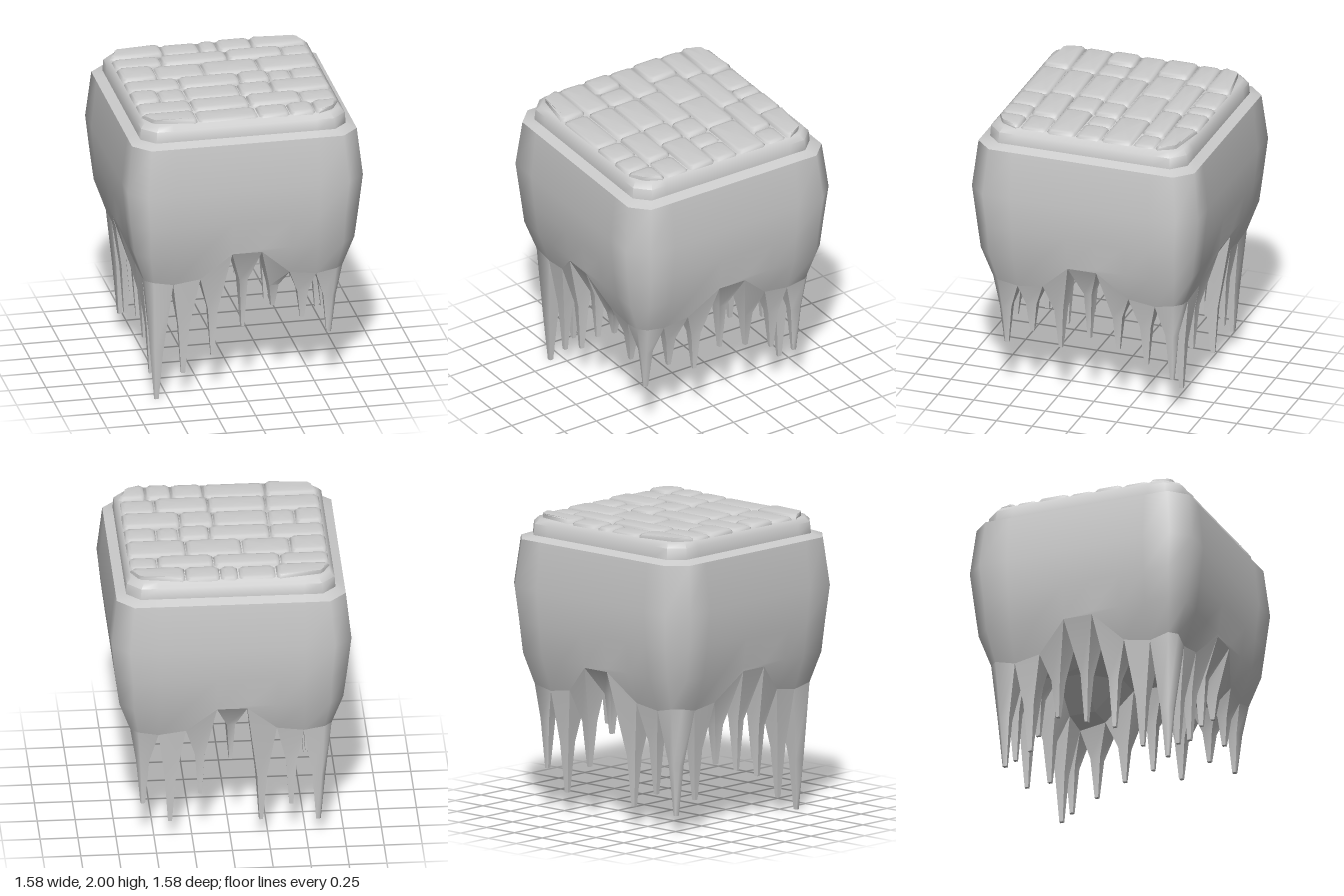
import * as THREE from 'three';
import { mergeVertices, toCreasedNormals } from 'three/addons/utils/BufferGeometryUtils.js';

const GAPS = [-0.48, -0.3, -0.1, 0.1, 0.3, 0.48]; // notches between the spikes on each side
const INNER = 0.48;
const V = (x, y, z) => new THREE.Vector3(x, y, z);
const material = new THREE.MeshStandardMaterial({ color: 0xcccccc });

// Height of the lower edge: an arch that is highest mid-side
const archY = t => [1.05, 0.86, 0.83][Math.abs(t) < 0.2 ? 0 : Math.abs(t) < 0.4 ? 1 : 2];
// Half-width of the wall near its lower edge
const wallW = y => THREE.MathUtils.mapLinear(y, 0.85, 1.05, 0.66, 0.735);
// Quarter turns about y, front -> +x side -> back -> -x side
const turn = (p, k) => {
  for (let i = 0; i < k; i++) p = V(p.z, p.y, -p.x);
  return p;
};

function build(triangles, crease) {
  const g = new THREE.BufferGeometry().setFromPoints(triangles);
  const welded = mergeVertices(g, 1e-4);
  return toCreasedNormals(welded, crease);
}

// Skin rings of equal length, listed bottom to top and counterclockwise from above
function loft(rings, { top = false, bottom = false, crease = 0.95 } = {}) {
  const out = [], n = rings[0].length;
  for (let r = 0; r + 1 < rings.length; r++) {
    for (let i = 0; i < n; i++) {
      const j = (i + 1) % n, a = rings[r], b = rings[r + 1];
      out.push(a[i], a[j], b[j], a[i], b[j], b[i]);
    }
  }
  const cap = (ring, up) => {
    const c = ring.reduce((s, p) => s.add(p), V(0, 0, 0)).divideScalar(n);
    ring.forEach((p, i) => {
      const q = ring[(i + 1) % n];
      out.push(c, ...(up ? [p, q] : [q, p]));
    });
  };
  if (top) cap(rings[rings.length - 1], true);
  if (bottom) cap(rings[0], false);
  return build(out, crease);
}

// Square ring with chamfered corners
function squareRing(w, y, c) {
  const ring = [];
  for (let k = 0; k < 4; k++) {
    for (const t of GAPS) ring.push(turn(V(t, y, w), k));
    ring.push(turn(V(w - c, y, w), k), turn(V(w, y, w - c), k));
  }
  return ring;
}

const edgePoint = t => V(t, archY(t), wallW(archY(t)));
const CORNER = 0.05, LOW = wallW(0.86);
const cornerPoints = [V(LOW - CORNER, 0.86, LOW), V(LOW, 0.86, LOW - CORNER)];

function bodyGeometry() {
  const lowest = [];
  for (let k = 0; k < 4; k++) {
    for (const p of [...GAPS.map(edgePoint), ...cornerPoints]) lowest.push(turn(p, k));
  }
  const rings = [[1.07, 0.738, 0.09], [1.28, 0.765, 0.11], [1.52, 0.79, 0.115], [1.84, 0.755, 0.11],
    [1.865, 0.69, 0.09], [1.94, 0.685, 0.09], [1.972, 0.655, 0.08]];
  return loft([lowest, ...rings.map(([y, w, c]) => squareRing(w, y, c))], { top: true });
}

// Vaulted underside, facing down
function undersideGeometry() {
  const out = [];
  const p = (i, j) => V(GAPS[i], Math.max(archY(GAPS[i]), archY(GAPS[j])), GAPS[j]);
  for (let i = 0; i < 5; i++) {
    for (let j = 0; j < 5; j++) {
      out.push(p(i, j), p(i + 1, j), p(i + 1, j + 1), p(i, j), p(i + 1, j + 1), p(i, j + 1));
    }
  }
  return build(out, 0.6);
}

// Hanging spike narrowing from its base polygon to a thin blunt tip
function spikeGeometry(base, cx, cz, tipY) {
  const shrink = (y, r) => base.map(p => {
    const d = V(p.x - cx, 0, p.z - cz).normalize().multiplyScalar(r);
    return V(cx + d.x, y, cz + d.z);
  });
  const lowest = Math.min(...base.map(p => p.y));
  const knee = Math.min(tipY + 0.34, THREE.MathUtils.lerp(tipY, lowest, 0.6));
  return loft([shrink(tipY, 0.018), shrink(knee, 0.05), base], { bottom: true, crease: 1.2 });
}

// Tip heights going round: five along each side, then its corner
const TIPS = [
  [0.17, 0.28, 0.47, 0.6, 0.5, 0.38],
  [0.49, 0.4, 0.5, 0.45, 0.37, 0.29],
  [0.15, 0.35, 0.6, 0.14, 0.25, 0.13],
  [0.21, 0.42, 0.35, 0.28, 0.11, 0],
];

// Paving rows: z start, z end, then the joints along x
const ROWS = [
  [-0.66, -0.48, [-0.3, -0.05, 0.07, 0.3]],
  [-0.48, -0.32, [-0.34, 0.1, 0.47]],
  [-0.32, -0.1, [-0.42, -0.1, 0.27]],
  [-0.1, 0.08, [-0.3, 0.1, 0.3, 0.45]],
  [0.08, 0.28, [-0.48, -0.3, 0.06, 0.28]],
  [0.28, 0.47, [-0.3, 0.08, 0.43]],
  [0.47, 0.66, [-0.31, 0.1, 0.31, 0.48]],
];

// Shallow pillow-shaped paving stone
function stoneGeometry(x0, x1, z0, z1, topY) {
  const ring = (y, inset) => {
    const a = x0 + inset, b = x1 - inset, c = z0 + inset, d = z1 - inset, e = 0.02;
    return [[a, d - e], [a + e, d], [b - e, d], [b, d - e], [b, c + e], [b - e, c], [a + e, c], [a, c + e]]
      .map(([x, z]) => {
        // Keep stones inside the chamfered corners of the slab
        const over = Math.max(0, Math.abs(x) + Math.abs(z) - 1.2) / 2;
        return V(x - Math.sign(x) * over, y, z - Math.sign(z) * over);
      });
  };
  return loft([ring(1.95, 0), ring(topY - 0.02, 0.003), ring(topY - 0.005, 0.015), ring(topY, 0.035)],
    { top: true, crease: 1.2 });
}

export function createModel() {
  const group = new THREE.Group();
  const add = (name, geometry, parent = group) => {
    const mesh = new THREE.Mesh(geometry, material);
    mesh.name = name;
    parent.add(mesh);
  };

  add('rockBody', bodyGeometry());
  add('underside', undersideGeometry());

  const spikes = new THREE.Group();
  spikes.name = 'hangingSpikes';
  group.add(spikes);
  TIPS.forEach((tips, k) => {
    tips.forEach((tipY, i) => {
      const corner = i === 5;
      const inner = t => V(t, archY(t), INNER);
      const base = corner
        ? [edgePoint(INNER), ...cornerPoints, turn(edgePoint(-INNER), 1), inner(INNER)]
        : [edgePoint(GAPS[i]), edgePoint(GAPS[i + 1]), inner(GAPS[i + 1]), inner(GAPS[i])];
      const centre = turn(V(corner ? 0.578 : (i - 2) * 0.2, 0, 0.578), k);
      add(corner ? 'cornerSpike' : 'sideSpike',
        spikeGeometry(base.map(p => turn(p, k)), centre.x, centre.z, tipY), spikes);
    });
  });

  const paving = new THREE.Group();
  paving.name = 'pavingStones';
  group.add(paving);
  ROWS.forEach(([z0, z1, joints], r) => {
    const xs = [-0.66, ...joints, 0.66];
    for (let i = 0; i + 1 < xs.length; i++) {
      const topY = 2 - 0.004 * ((r * 2 + i * 3) % 4);
      add('pavingStone', stoneGeometry(xs[i], xs[i + 1], z0, z1, topY), paving);
    }
  });
  return group;
}
